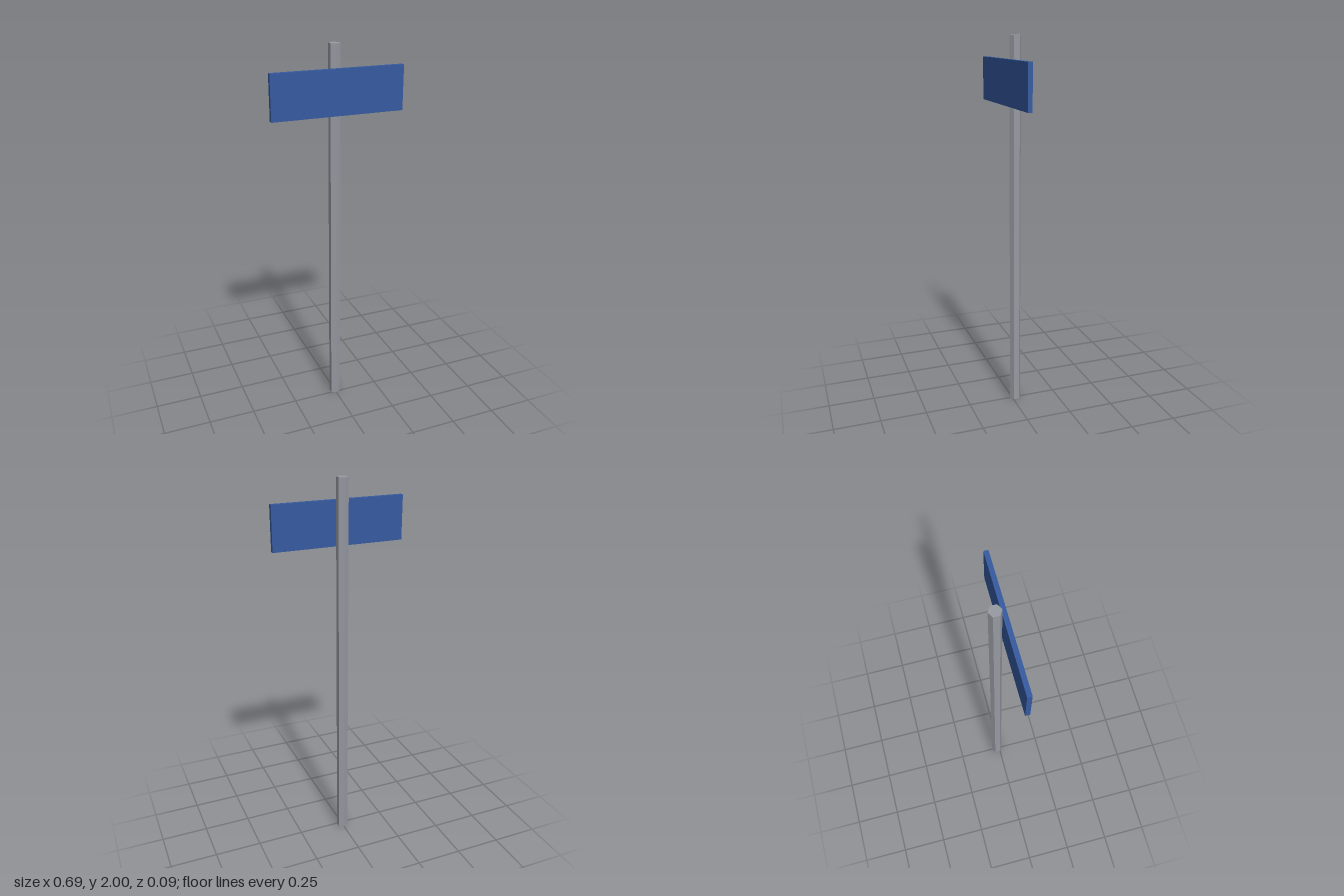
import * as THREE from 'three';

export function createModel() {
  const model = new THREE.Group();
  model.name = 'signpost';

  const steel = new THREE.MeshStandardMaterial({ color: 0x969aa1 });
  steel.name = 'grey steel';
  steel.flatShading = true;
  const blue = new THREE.MeshStandardMaterial({ color: 0x355aa0 });
  blue.name = 'sign blue';

  // Hexagonal pole, corners pointing to front and back
  const pole = new THREE.Mesh(new THREE.CylinderGeometry(0.0305, 0.0305, 2, 6), steel);
  pole.name = 'pole';
  pole.position.set(0, 1, -0.017);

  // Flat sign board standing just in front of the pole
  const board = new THREE.Mesh(new THREE.BoxGeometry(0.692, 0.228, 0.023), blue);
  board.name = 'signBoard';
  board.position.set(0, 1.772, 0.0335);

  model.add(pole, board);
  return model;
}
